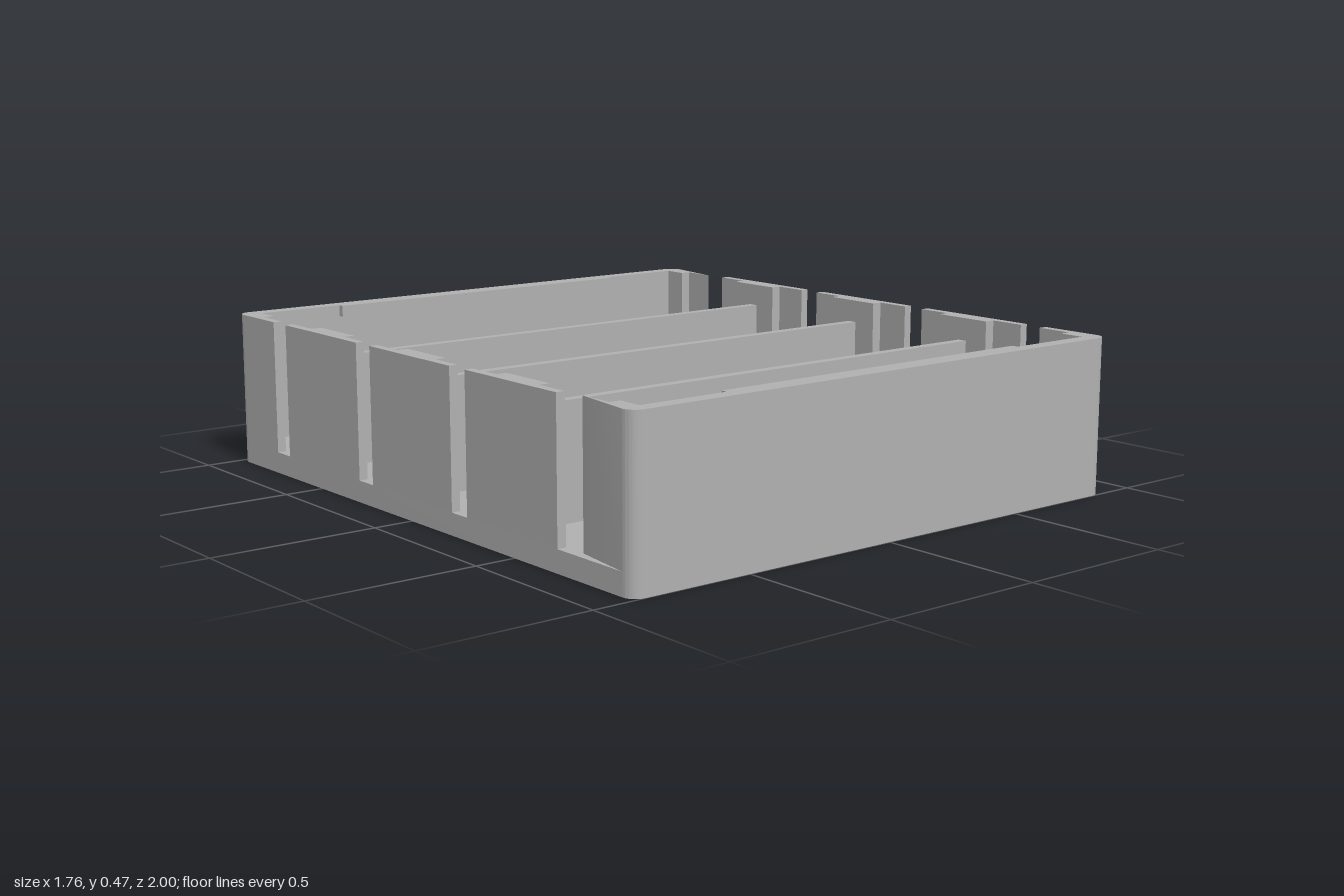
import * as THREE from 'three';
import { toCreasedNormals } from 'three/addons/utils/BufferGeometryUtils.js';

const W = 0.88, L = 1, H = 0.47, FLOOR = 0.065, R = 0.04;
const INNER = 0.82, RECESS = 0.853, END = 0.953; // inner faces of the walls
const BAY = 0.486, SLOT = 0.037, POCKET = 0.147; // bay pitch, half slot, half pocket
const BAYS = [-1.5, -0.5, 0.5, 1.5].map((k) => k * BAY);

const grey = new THREE.MeshStandardMaterial({ color: 0xb0b0b0 });
grey.name = 'grey plastic';

// Extrude a plan outline (x, -z) upward from y0 to y1
function raise(name, shape, y0, y1) {
  let geo = new THREE.ExtrudeGeometry(shape, { depth: y1 - y0, bevelEnabled: false, curveSegments: 20 });
  geo.rotateX(-Math.PI / 2);
  geo = toCreasedNormals(geo, 0.5);
  const mesh = new THREE.Mesh(geo, grey);
  mesh.name = name;
  mesh.position.y = y0;
  return mesh;
}

function box(name, w, h, d, x, y, z) {
  const mesh = new THREE.Mesh(new THREE.BoxGeometry(w, h, d), grey);
  mesh.name = name;
  mesh.position.set(x, y, z);
  return mesh;
}

const outline = (pts) => new THREE.Shape(pts.map(([x, y]) => new THREE.Vector2(x, y)));

// Floor plate with rounded corners and round holes
function floorPlate() {
  const s = new THREE.Shape();
  s.moveTo(-W + R, -L);
  s.lineTo(W - R, -L);
  s.absarc(W - R, -L + R, R, -Math.PI / 2, 0, false);
  s.absarc(W - R, L - R, R, 0, Math.PI / 2, false);
  s.absarc(-W + R, L - R, R, Math.PI / 2, Math.PI, false);
  s.absarc(-W + R, -L + R, R, Math.PI, Math.PI * 1.5, false);
  const hole = (x, y, r) => s.holes.push(new THREE.Path().absarc(x, y, r, 0, Math.PI * 2, true));
  for (const z of BAYS) {
    hole(0, z, 0.13);
    if (Math.abs(z) < 0.5) for (const x of [-0.455, 0.455]) hole(x, z, 0.052);
  }
  return raise('floor', s, 0, FLOOR);
}

// End wall with both rounded corners, reaching to the first slots
function endWall(name) {
  const z0 = 1.5 * BAY + SLOT, z1 = 1.5 * BAY + POCKET;
  const s = new THREE.Shape();
  s.moveTo(W, z0);
  s.absarc(W - R, L - R, R, 0, Math.PI / 2, false);
  s.absarc(-W + R, L - R, R, Math.PI / 2, Math.PI, false);
  for (const [x, y] of [[-W, z0], [-RECESS, z0], [-RECESS, z1], [-INNER, z1], [-INNER, END],
    [INNER, END], [INNER, z1], [RECESS, z1], [RECESS, z0]]) s.lineTo(x, y);
  const g = new THREE.Group();
  g.name = name;
  g.add(raise(name + 'Panel', s, FLOOR, H));
  // retaining lip along the inner rim
  g.add(box(name + 'Lip', 1.085, 0.035, 0.02, 0, H - 0.0175, -END + 0.01));
  return g;
}

// Side wall section between two slots, thick in the middle
function sideSection(name) {
  const a = BAY / 2 - SLOT, b = BAY / 2 - POCKET;
  return raise(name, outline([[W, -a], [W, a], [RECESS, a], [RECESS, b], [INNER, b],
    [INNER, -b], [RECESS, -b], [RECESS, -a]]), FLOOR, H);
}

export function createModel() {
  const model = new THREE.Group();
  model.name = 'slottedTray';
  model.add(floorPlate());

  const back = endWall('backWall');
  const front = endWall('frontWall');
  front.rotation.y = Math.PI;
  model.add(back, front);

  for (const z of [-BAY, 0, BAY]) {
    const left = sideSection('leftWallSection');
    const right = sideSection('rightWallSection');
    left.position.z = right.position.z = z;
    right.rotation.y = Math.PI;
    // divider between bays, lower than the rim
    const top = 0.4;
    model.add(left, right, box('divider', INNER * 2, top - FLOOR, 0.031, 0, (top + FLOOR) / 2, z));
  }
  return model;
}
